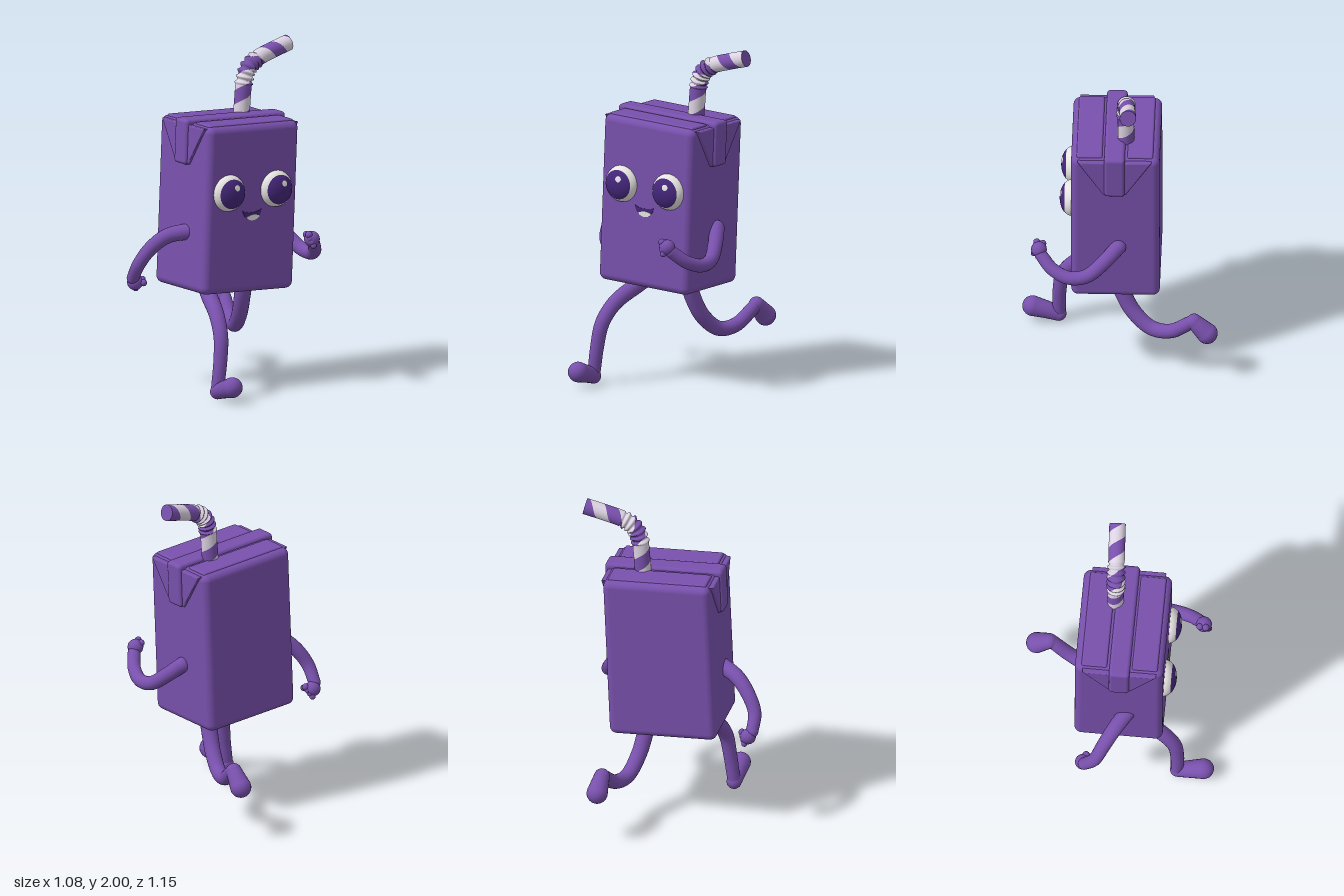
import * as THREE from 'three';
import { RoundedBoxGeometry } from 'three/addons/geometries/RoundedBoxGeometry.js';

const V = (p) => new THREE.Vector3(...p);
const material = (name, color) => Object.assign(new THREE.MeshStandardMaterial({ color }), { name });

// Round tube along a curve; columns from..to of n are built, optionally twisted into a helix
function sweep(curve, radius, { rows = 40, n = 20, from = 0, to = n, turns = 0, phase = 0 } = {}) {
  const frames = curve.computeFrenetFrames(rows, false);
  const closed = to - from === n;
  const cols = closed ? n : to - from + 1;
  const pos = [], index = [];
  for (let i = 0; i <= rows; i++) {
    const u = i / rows, p = curve.getPointAt(u), r = radius(u);
    for (let j = 0; j < cols; j++) {
      const a = 2 * Math.PI * ((from + j) / n + turns * u + phase);
      const q = p.clone().addScaledVector(frames.normals[i], r * Math.cos(a)).addScaledVector(frames.binormals[i], r * Math.sin(a));
      pos.push(q.x, q.y, q.z);
    }
  }
  for (let i = 0; i < rows; i++) {
    for (let j = 0; j < to - from; j++) {
      const a = i * cols + j, b = i * cols + (j + 1) % cols;
      index.push(a, b, a + cols, b, b + cols, a + cols);
    }
  }
  const g = new THREE.BufferGeometry();
  g.setAttribute('position', new THREE.Float32BufferAttribute(pos, 3));
  g.setIndex(index);
  g.computeVertexNormals();
  return g;
}

export function createModel() {
  const purple = material('purple', 0x7850ac);
  const dark = material('dark purple', 0x44267a);
  const white = material('white', 0xe6e4e2);
  const strawWhite = material('straw white', 0xdcd3e2);
  const root = new THREE.Group();
  root.name = 'runningDrinkCarton';

  const add = (parent, name, geometry, mat, pos = [0, 0, 0]) => {
    const m = new THREE.Mesh(geometry, mat);
    m.name = name;
    m.position.set(...pos);
    parent.add(m);
    return m;
  };
  const ball = (parent, name, pos, r) => add(parent, name, new THREE.SphereGeometry(r, 20, 14), purple, pos);

  // Carton, leaning slightly to its left
  const carton = new THREE.Group();
  carton.name = 'carton';
  carton.position.set(0.041, 1.083, 0.018);
  carton.rotation.z = -0.043;
  root.add(carton);
  add(carton, 'box', new RoundedBoxGeometry(0.64, 0.99, 0.515, 6, 0.042), purple);
  for (const z of [-0.145, 0.15]) {
    add(carton, 'topPanel', new RoundedBoxGeometry(0.59, 0.03, 0.15, 3, 0.012), purple, [0, 0.488, z]);
  }
  add(carton, 'topSeam', new RoundedBoxGeometry(0.7, 0.05, 0.12, 4, 0.02), purple, [0, 0.49, 0.004]);

  // Folded ears with the seam running down each side
  const ear = new THREE.Shape([[-0.2, 0.475], [-0.06, 0.265], [0.06, 0.265], [0.2, 0.475]].map((p) => new THREE.Vector2(...p)));
  const earGeometry = new THREE.ExtrudeGeometry(ear, { depth: 0.02, bevelThickness: 0.008, bevelSize: 0.012, bevelSegments: 3 });
  earGeometry.translate(0, 0, -0.01).rotateY(Math.PI / 2);
  for (const side of [-1, 1]) {
    add(carton, 'foldedEar', earGeometry, purple, [side * 0.318, 0, 0.004]);
    add(carton, 'sideSeam', new RoundedBoxGeometry(0.05, 0.265, 0.12, 4, 0.02), purple, [side * 0.327, 0.381, 0.004]);
  }

  // Eyes: domes with a pupil and a glint laid on as thin caps
  const cap = (r, angle) => new THREE.SphereGeometry(r, 40, 20, 0, Math.PI * 2, 0, angle).rotateX(Math.PI / 2);
  for (const [x, y] of [[-0.122, 1.192], [0.21, 1.182]]) {
    const eye = new THREE.Group();
    eye.name = 'eye';
    eye.position.set(x, y, 0.27);
    eye.scale.set(0.108, 0.108, 0.074);
    root.add(eye);
    add(eye, 'eyeWhite', cap(1, Math.PI / 2), white);
    add(eye, 'pupil', cap(1.012, 0.92), dark);
    add(eye, 'glint', cap(1.025, 0.17), white).rotation.set(-0.36, 0.16, 0);
  }

  // Smiling mouth and its pale lower part
  const mouth = new THREE.Shape();
  mouth.moveTo(-0.028, 1.08);
  mouth.quadraticCurveTo(-0.015, 1.015, 0.042, 1.014);
  mouth.quadraticCurveTo(0.095, 1.015, 0.105, 1.075);
  mouth.quadraticCurveTo(0.08, 1.06, 0.04, 1.062);
  mouth.quadraticCurveTo(0, 1.06, -0.028, 1.08);
  const tongue = new THREE.Shape();
  tongue.moveTo(-0.002, 1.034);
  tongue.quadraticCurveTo(0.015, 1.014, 0.042, 1.014);
  tongue.quadraticCurveTo(0.075, 1.014, 0.09, 1.036);
  tongue.quadraticCurveTo(0.045, 1.058, -0.002, 1.034);
  const plate = { depth: 0.006, bevelEnabled: false };
  add(root, 'mouth', new THREE.ExtrudeGeometry(mouth, plate), dark, [0, 0, 0.273]);
  add(root, 'mouthLowerPart', new THREE.ExtrudeGeometry(tongue, plate), white, [0, 0, 0.276]);

  // Bendy straw: two interlocking helical stripes and a ribbed elbow
  const straw = new THREE.Group();
  straw.name = 'straw';
  root.add(straw);
  const strawCurve = new THREE.CatmullRomCurve3([
    [0.183, 1.57, -0.04], [0.19, 1.66, -0.04], [0.203, 1.77, -0.04], [0.235, 1.845, -0.042],
    [0.3, 1.89, -0.046], [0.41, 1.925, -0.053], [0.525, 1.955, -0.06]].map(V));
  const strawRadius = (u) => 0.048 + (u > 0.3 && u < 0.62 ? 0.007 * Math.sin((u - 0.3) / 0.32 * Math.PI * 12) : 0);
  const turns = strawCurve.getLength() / 0.17;
  [purple, strawWhite].forEach((mat, k) => {
    const opts = { rows: 140, n: 28, from: k * 14, to: k * 14 + 14, turns, phase: 0.368 };
    add(straw, 'strawStripe', sweep(strawCurve, strawRadius, opts), mat);
  });
  const tip = add(straw, 'strawEnd', new THREE.CircleGeometry(0.048, 28), purple);
  tip.position.copy(strawCurve.getPointAt(1));
  tip.lookAt(tip.position.clone().add(strawCurve.getTangentAt(1)));

  // Tapered limbs with rounded ends
  const limb = (name, points, r0, r1) => {
    const g = new THREE.Group();
    g.name = name;
    root.add(g);
    const curve = new THREE.CatmullRomCurve3(points.map(V));
    add(g, name + 'Tube', sweep(curve, (u) => r0 + (r1 - r0) * u), purple);
    ball(g, name + 'Start', points[0], r0);
    ball(g, name + 'End', points[points.length - 1], r1);
    return g;
  };

  limb('rightArm', [[-0.26, 0.95, 0.07], [-0.37, 0.92, 0], [-0.45, 0.845, -0.055], [-0.5, 0.75, -0.1], [-0.5, 0.66, -0.16]], 0.048, 0.036);
  limb('leftArm', [[0.36, 0.94, 0], [0.405, 0.865, 0.08], [0.443, 0.79, 0.18], [0.445, 0.775, 0.28], [0.41, 0.81, 0.38], [0.355, 0.875, 0.45]], 0.045, 0.037);
  limb('rightLeg', [[-0.1, 0.61, 0], [-0.14, 0.555, 0.1], [-0.19, 0.47, 0.25], [-0.22, 0.36, 0.335], [-0.24, 0.22, 0.358], [-0.26, 0.07, 0.36]], 0.05, 0.038);
  limb('leftLeg', [[0.165, 0.62, 0.02], [0.175, 0.5, -0.02], [0.2, 0.38, -0.085], [0.24, 0.295, -0.19], [0.285, 0.305, -0.3], [0.33, 0.4, -0.425]], 0.05, 0.04);

  // Feet, widening toward the toes
  limb('rightFoot', [[-0.262, 0.046, 0.362], [-0.263, 0.07, 0.43], [-0.263, 0.096, 0.515]], 0.044, 0.06);
  limb('leftFoot', [[0.33, 0.405, -0.44], [0.335, 0.37, -0.475], [0.34, 0.33, -0.515]], 0.046, 0.062);

  // Fists: a palm, four curled fingers in a row and a thumb
  const fist = (name, palm, first, last, thumb) => {
    const g = new THREE.Group();
    g.name = name;
    root.add(g);
    ball(g, 'palm', palm, 0.046);
    for (let i = 0; i < 4; i++) {
      ball(g, 'finger', V(first).lerp(V(last), i / 3).toArray(), 0.021 - 0.001 * i);
    }
    ball(g, 'thumb', thumb, 0.02);
  };
  fist('rightHand', [-0.478, 0.63, -0.17], [-0.438, 0.645, -0.155], [-0.46, 0.59, -0.19], [-0.445, 0.63, -0.13]);
  fist('leftHand', [0.335, 0.9, 0.462], [0.305, 0.93, 0.475], [0.325, 0.865, 0.492], [0.31, 0.925, 0.44]);

  return root;
}
